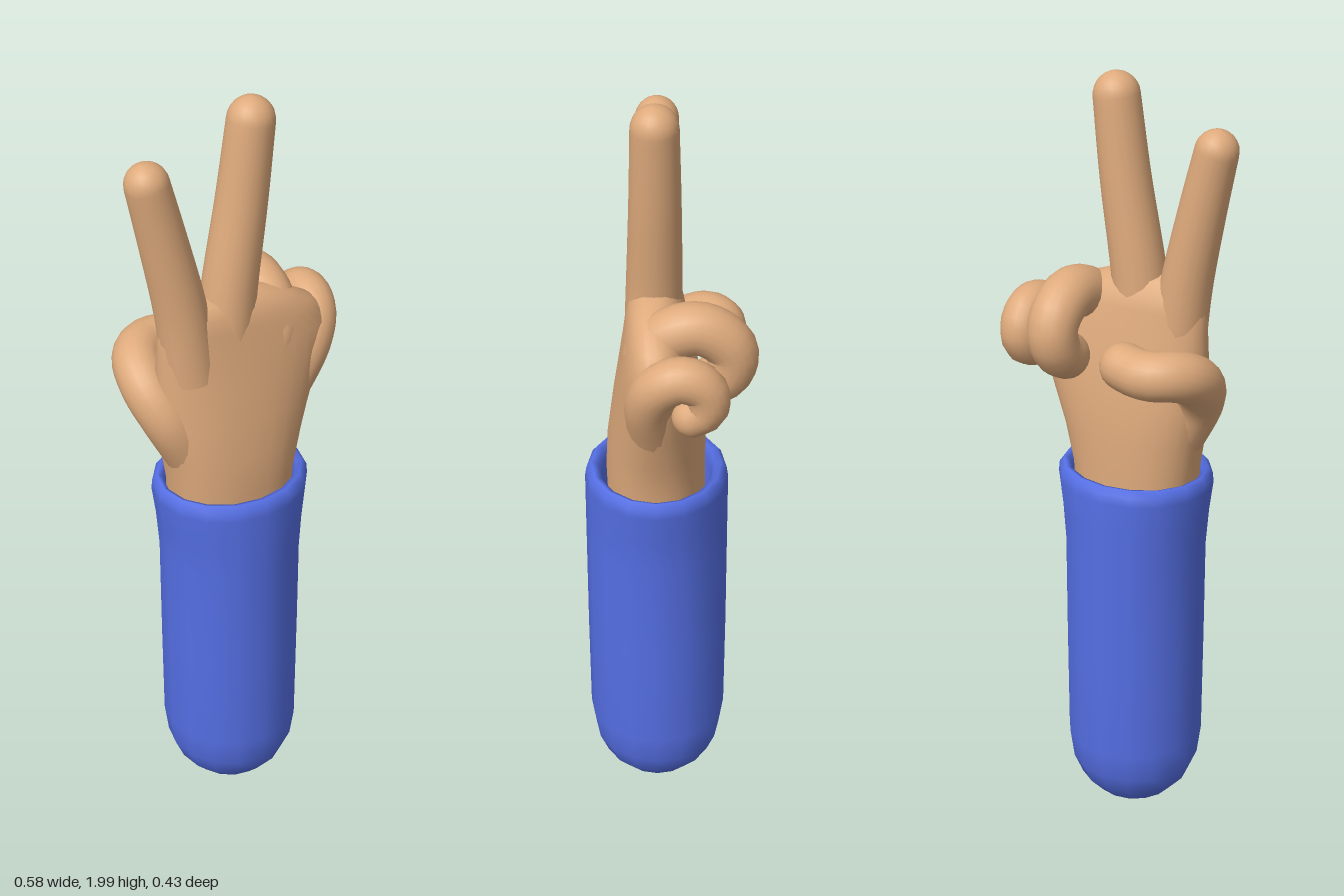
import * as THREE from 'three';

const skin = new THREE.MeshStandardMaterial({ color: 0xdeaa7c });
const cloth = new THREE.MeshStandardMaterial({ color: 0x556fe4, side: THREE.DoubleSide });

// Joins closed rings of points into one smooth skin
function loft(rings) {
  const n = rings[0].length, index = [];
  for (let i = 0; i < rings.length - 1; i++) {
    for (let j = 0; j < n; j++) {
      const k = (j + 1) % n;
      const a = i * n + j, b = i * n + k, c = a + n, d = b + n;
      index.push(a, b, c, b, d, c);
    }
  }
  const g = new THREE.BufferGeometry().setFromPoints(rings.flat());
  g.setIndex(index);
  g.computeVertexNormals();
  return g;
}

// Horizontal oval ring; power below 1 makes it squarer
function oval(y, cx, cz, rx, rz, sides, power = 1) {
  const bend = (v) => Math.sign(v) * Math.abs(v) ** power;
  return Array.from({ length: sides }, (_, j) => {
    const t = (j / sides) * Math.PI * 2;
    return new THREE.Vector3(cx + rx * bend(Math.sin(t)), y, cz + rz * bend(Math.cos(t)));
  });
}

// Tapered round finger along a curve, ending in a rounded tip
function finger(points, r0, r1) {
  const curve = new THREE.CatmullRomCurve3(points.map((p) => new THREE.Vector3(...p)));
  const steps = 28, sides = 20, capSteps = 7, rings = [];
  const frames = curve.computeFrenetFrames(steps);
  const ring = (center, i, r) => Array.from({ length: sides }, (_, j) => {
    const t = (j / sides) * Math.PI * 2;
    return center.clone()
      .addScaledVector(frames.normals[i], r * Math.cos(t))
      .addScaledVector(frames.binormals[i], r * Math.sin(t));
  });
  for (let i = 0; i <= steps; i++) {
    rings.push(ring(curve.getPointAt(i / steps), i, THREE.MathUtils.lerp(r0, r1, i / steps)));
  }
  const end = curve.getPointAt(1);
  for (let k = 1; k <= capSteps; k++) {
    const a = (k / capSteps) * Math.PI / 2;
    const c = end.clone().addScaledVector(frames.tangents[steps], r1 * Math.sin(a));
    rings.push(ring(c, steps, r1 * Math.cos(a)));
  }
  return loft(rings);
}

export function createModel() {
  const model = new THREE.Group();
  model.name = 'handAndSleeve';
  const add = (name, geometry, material) => {
    const mesh = new THREE.Mesh(geometry, material);
    mesh.name = name;
    model.add(mesh);
  };

  // Sleeve: rounded bottom, flared cuff, rim turned inwards [y, rx, rz]
  const sleeve = [
    [0.005, 0, 0], [0.012, 0.05, 0.05], [0.04, 0.105, 0.105], [0.085, 0.145, 0.145],
    [0.14, 0.168, 0.168], [0.22, 0.178, 0.18], [0.5, 0.18, 0.182], [0.78, 0.181, 0.182],
    [0.88, 0.19, 0.182], [0.96, 0.202, 0.182], [0.985, 0.2, 0.178], [1.0, 0.188, 0.165],
    [0.995, 0.176, 0.15], [0.97, 0.168, 0.14], [0.88, 0.16, 0.13],
  ];
  add('sleeve', loft(sleeve.map(([y, rx, rz]) => oval(y, -0.024, 0.033, rx, rz, 16))), cloth);

  // Wrist and palm [y, xMin, xMax, zMin, zMax]
  const palm = [
    [0.86, -0.185, 0.13, -0.09, 0.155], [1.0, -0.19, 0.14, -0.09, 0.16],
    [1.1, -0.207, 0.165, -0.09, 0.155], [1.2, -0.222, 0.2, -0.085, 0.142],
    [1.3, -0.222, 0.235, -0.07, 0.127], [1.38, -0.218, 0.25, -0.052, 0.115],
    [1.44, -0.216, 0.2, -0.04, 0.106], [1.48, -0.206, 0.13, -0.028, 0.098],
    [1.51, -0.17, 0.05, -0.005, 0.078], [1.52, -0.08, -0.08, 0.035, 0.035],
  ];
  add('palm', loft(palm.map(([y, x0, x1, z0, z1]) =>
    oval(y, (x0 + x1) / 2, (z0 + z1) / 2, (x1 - x0) / 2, (z1 - z0) / 2, 32, 0.88))), skin);

  // Two raised fingers
  add('indexFinger', finger([
    [-0.135, 1.32, 0.04], [-0.16, 1.5, 0.037], [-0.203, 1.7, 0.033], [-0.238, 1.848, 0.031],
  ], 0.07, 0.053), skin);
  add('middleFinger', finger([
    [-0.045, 1.32, 0.04], [-0.03, 1.5, 0.037], [0.008, 1.75, 0.034], [0.032, 1.943, 0.034],
  ], 0.073, 0.057), skin);

  // Two curled fingers
  add('ringFinger', finger([
    [0.065, 1.27, 0.045], [0.09, 1.4, 0.04], [0.1, 1.45, -0.01], [0.103, 1.462, -0.08],
    [0.103, 1.41, -0.148], [0.1, 1.345, -0.14], [0.098, 1.315, -0.1],
  ], 0.07, 0.06), skin);
  add('littleFinger', finger([
    [0.12, 1.18, 0.035], [0.19, 1.31, 0.045], [0.222, 1.375, 0.02], [0.232, 1.4, -0.03],
    [0.232, 1.375, -0.083], [0.23, 1.32, -0.088], [0.225, 1.296, -0.055],
  ], 0.066, 0.05), skin);

  // Thumb folded across the back side of the palm
  add('thumb', finger([
    [-0.13, 1.08, 0.04], [-0.2, 1.21, 0.03], [-0.226, 1.28, -0.02], [-0.212, 1.32, -0.09],
    [-0.16, 1.325, -0.13], [-0.115, 1.325, -0.127], [-0.078, 1.33, -0.12],
  ], 0.068, 0.059), skin);

  return model;
}
